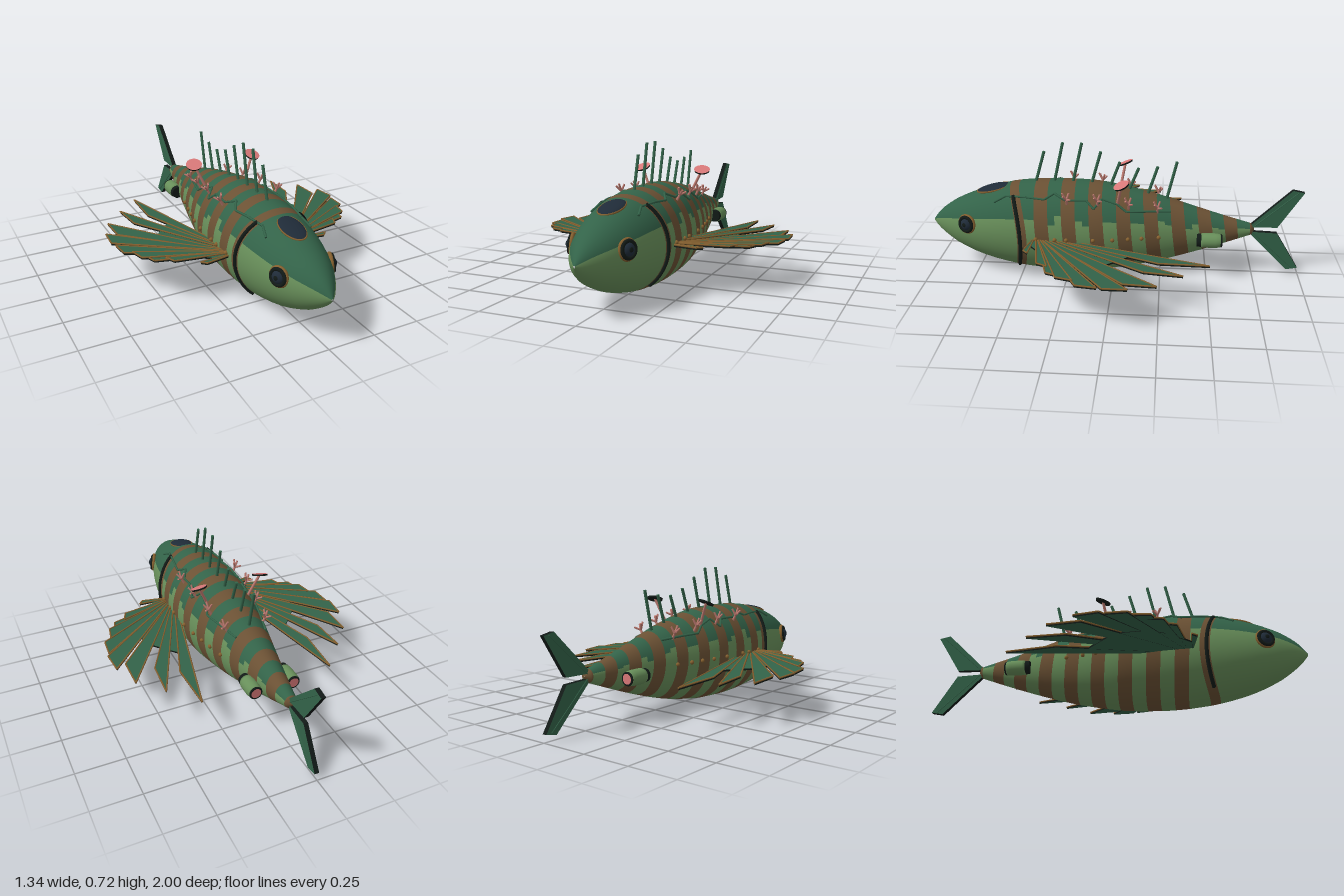
import * as THREE from 'three';

const mat = (name, color, side = THREE.FrontSide) =>
  Object.assign(new THREE.MeshStandardMaterial({ color, side }), { name });
const M = {
  dark: mat('dark green', 0x336349), light: mat('light green', 0x688f5a), brown: mat('stripe brown', 0x6b5134),
  black: mat('near black', 0x121a17), navy: mat('glass navy', 0x1f2b38), pink: mat('coral pink', 0xd87878),
  stalk: mat('stalk pink', 0xbd7a70), rim: mat('rim bronze', 0x85602f),
};
const V = (x, y, z) => new THREE.Vector3(x, y, z);

// Hull profile: z, half width, top, bottom
const PROFILE = [
  [1, 0.004, 0.265, 0.255], [0.97, 0.035, 0.305, 0.218], [0.925, 0.07, 0.345, 0.18], [0.85, 0.115, 0.392, 0.13],
  [0.7, 0.168, 0.452, 0.066], [0.5, 0.202, 0.498, 0.02], [0.3, 0.212, 0.51, 0.003], [0.1, 0.205, 0.505, 0.008],
  [0, 0.192, 0.49, 0.018], [-0.2, 0.15, 0.447, 0.055], [-0.4, 0.105, 0.387, 0.112], [-0.6, 0.06, 0.327, 0.18],
  [-0.735, 0.031, 0.29, 0.23], [-0.75, 0.001, 0.261, 0.259],
];

// Smooth interpolation of the profile at any z
function section(z) {
  const P = PROFILE, n = P.length;
  let i = 0;
  while (i < n - 2 && z < P[i + 1][0]) i++;
  const a = P[i], b = P[i + 1], d = b[0] - a[0];
  const t = THREE.MathUtils.clamp((z - a[0]) / d, 0, 1);
  const slope = (k, c) => {
    if (k >= n - 2) return (P[k][c] - P[k - 1][c]) / (P[k][0] - P[k - 1][0]);
    const p = P[Math.max(k - 1, 0)], q = P[k + 1];
    return (q[c] - p[c]) / (q[0] - p[0]);
  };
  const [w, top, bot] = [1, 2, 3].map((c) => {
    if (i >= n - 3) return a[c] + (b[c] - a[c]) * t;
    const t2 = t * t, t3 = t2 * t;
    return (2 * t3 - 3 * t2 + 1) * a[c] + (t3 - 2 * t2 + t) * d * slope(i, c)
      + (3 * t2 - 2 * t3) * b[c] + (t3 - t2) * d * slope(i + 1, c);
  });
  return { w, cy: (top + bot) / 2, h: (top - bot) / 2 };
}

// Point on the hull; bowed rings arc back at the gills and lean back along the body
function hullPoint(z, a, bow = 0, lift = 0) {
  const clamp01 = (v) => THREE.MathUtils.clamp(v, 0, 1);
  const arc = 0.05 * Math.cos(a) ** 2 + 0.01 * (1 - Math.sin(a)), lean = 0.02 * (1 - Math.sin(a));
  const fade = bow * clamp01((1 - z) / 0.45) * clamp01((z + 0.735) / 0.25);
  const zz = z - fade * THREE.MathUtils.lerp(arc, lean, clamp01((0.51 - z) / 0.08));
  const s = section(zz);
  return V((s.w + lift) * Math.cos(a), s.cy + (s.h + lift) * Math.sin(a), zz);
}

function add(parent, name, geo, material, pos) {
  const m = new THREE.Mesh(geo, material);
  m.name = name;
  if (pos) m.position.copy(pos);
  parent.add(m);
  return m;
}
function stick(parent, name, a, b, r0, r1, material, sides = 6) {
  const d = b.clone().sub(a);
  const m = add(parent, name, new THREE.CylinderGeometry(r1, r0, d.length(), sides), material, a.clone().lerp(b, 0.5));
  m.quaternion.setFromUnitVectors(V(0, 1, 0), d.normalize());
  return m;
}
function plate(points, depth) {
  const shape = new THREE.Shape(points.map((p) => new THREE.Vector2(p[0], p[1])));
  return new THREE.ExtrudeGeometry(shape, { depth, bevelEnabled: false });
}

function hull() {
  const zs = [1, 0.985, 0.965, 0.94, 0.91, 0.87, 0.83, 0.78, 0.73, 0.67, 0.61, 0.56, 0.535, 0.51];
  for (let k = 0; k < 9; k++) for (const o of [0.036, 0, -0.036, -0.072]) {
    const z = 0.385 - 0.143 * k + o;
    if (z > -0.73) zs.push(z);
  }
  zs.push(-0.735, -0.75);
  const N = 60, pos = [], lists = [[], [], []];
  for (const z of zs) for (let j = 0; j < N; j++) pos.push(...hullPoint(z, (j / N) * Math.PI * 2, 1).toArray());
  for (let i = 0; i < zs.length - 1; i++) {
    const z = (zs[i] + zs[i + 1]) / 2, f = (0.385 - z) / 0.143;
    const striped = (z < 0.56 && z > 0.51) || (z < 0.421 && Math.abs(f - Math.round(f)) < 0.252);
    const jag = z > 0.56 ? 0 : [0, 6, 0, -6, 0][(i * 3) % 5];
    for (let j = 0; j < N; j++) {
      const upper = Math.sin(((j + 0.5) / N) * Math.PI * 2) > Math.sin(THREE.MathUtils.degToRad(25 + jag));
      const k = (j + 1) % N, a = i * N + j, b = a + N, c = (i + 1) * N + k, d = i * N + k;
      lists[striped ? 2 : upper ? 0 : 1].push(a, b, c, a, c, d);
    }
  }
  const g = new THREE.BufferGeometry();
  g.setAttribute('position', new THREE.Float32BufferAttribute(pos, 3));
  g.setIndex(lists.flat());
  let start = 0;
  lists.forEach((l, m) => { g.addGroup(start, l.length, m); start += l.length; });
  g.computeVertexNormals();
  return g;
}

// Fan fin: pointed overlapping blades with bronze edges over a membrane
function fin(s) {
  const g = new THREE.Group();
  g.name = s > 0 ? 'leftFin' : 'rightFin';
  g.position.y = 0.222;
  g.rotation.x = -0.042;
  const base = [0.15, 0.41];
  const tips = [[0.355, -0.5], [0.487, -0.365], [0.6, -0.24], [0.655, -0.105], [0.652, 0.04], [0.605, 0.16],
    [0.565, 0.225], [0.485, 0.3], [0.355, 0.42]];
  const at = (ang, r) => [base[0] + r * Math.sin(ang), base[1] - r * Math.cos(ang)];
  const flat = (pts, depth, name, y) => {
    const m = add(g, name, plate(pts.map(([x, z]) => [s * x, -z]), depth), [M.dark, M.black]);
    m.rotation.x = -Math.PI / 2;
    m.position.y = y;
  };
  const web = [base];
  tips.forEach(([x, z], i) => {
    const dx = x - base[0], dz = base[1] - z, r = Math.hypot(dx, dz), ang = Math.atan2(dx, dz);
    const y = (i % 2) * 0.004, w = i < 2 ? 0.1 : 0.14;
    const cut = i < 3 ? 0.74 + 0.05 * i : 0.9;
    const A = at(ang, r), B = at(ang + w, r * cut), C = at(ang + w * 0.4, 0.02);
    flat([C, A, B, at(ang + w, 0.05)], 0.012, 'finBlade', y);
    const edge = (p, q) =>
      stick(g, 'finEdge', V(s * p[0], y + 0.011, p[1]), V(s * q[0], y + 0.011, q[1]), 0.0045, 0.0045, M.rim, 5);
    edge(base, A);
    edge(base, B);
    edge(A, B);
    web.push(at(ang, r * 0.6));
  });
  flat(web, 0.009, 'finMembrane', 0.001);
  return g;
}

function sideParts(s) {
  const g = new THREE.Group();
  g.name = s > 0 ? 'leftFittings' : 'rightFittings';
  const on = (z, deg, bow, lift) => {
    const p = hullPoint(z, THREE.MathUtils.degToRad(deg), bow, lift);
    p.x *= s;
    return p;
  };
  const onY = (z, y, lift) => {
    const c = section(z);
    return on(z, THREE.MathUtils.radToDeg(Math.asin(THREE.MathUtils.clamp((y - c.cy) / c.h, -1, 1))), 0, lift);
  };

  // Gill band
  const gill = new THREE.CatmullRomCurve3(Array.from({ length: 17 }, (_, i) => on(0.545, 57 - i * 7, 1, 0.003)));
  add(g, 'gillBand', new THREE.TubeGeometry(gill, 48, 0.01, 6), M.black);

  // Eye
  const eye = new THREE.Group();
  eye.name = 'eye';
  eye.position.copy(onY(0.78, 0.3, 0));
  eye.quaternion.setFromUnitVectors(V(0, 0, 1), V(s, 0.12, 0.42).normalize());
  add(eye, 'eyeRim', new THREE.TorusGeometry(0.044, 0.01, 8, 32), M.rim);
  add(eye, 'eyeRing', new THREE.TorusGeometry(0.038, 0.01, 8, 32), M.black, V(0, 0, 0.008));
  add(eye, 'eyeLens', new THREE.SphereGeometry(0.035, 24, 12), M.navy).scale.z = 0.8;
  add(eye, 'pupil', new THREE.SphereGeometry(0.012, 16, 8), M.black, V(0, 0, 0.025)).scale.z = 0.4;
  g.add(eye);

  // Angular conduit along the shoulder
  const run = [[0.63, 0.42], [0.57, 0.45], [0.46, 0.455], [0.36, 0.45], [0.31, 0.475], [0.25, 0.45], [0.14, 0.45],
    [0.1, 0.415], [0.06, 0.455], [-0.02, 0.43], [-0.07, 0.395], [-0.18, 0.39], [-0.3, 0.38]];
  const bends = run.map(([z, y]) => onY(z, y, 0.004));
  bends.slice(1).forEach((p, i) => stick(g, 'conduit', bends[i], p, 0.006, 0.006, M.dark));

  // Branching coral stalks
  for (const z of [0.24, 0.08, -0.08, -0.23]) {
    const p = on(z, 45, 0, -0.005), q = p.clone().add(V(s * 0.016, 0.03, 0));
    stick(g, 'coralStem', p, q, 0.007, 0.006, M.stalk);
    for (const [x, y, dz] of [[0.022, 0.028, 0.016], [-0.012, 0.036, -0.012], [0.026, 0.014, -0.022], [0.004, 0.04, 0.02]])
      stick(g, 'coralBranch', q, q.clone().add(V(s * x, y, dz)), 0.006, 0.005, M.stalk);
  }

  // Dish on a stem, tipped forward and outward
  const top = V(s * 0.173, 0.556, -0.045);
  stick(g, 'dishStem', on(-0.02, 50, 0, -0.01), top, 0.008, 0.007, M.stalk, 8);
  add(g, 'dish', new THREE.CylinderGeometry(0.042, 0.04, 0.009, 24), [M.black, M.pink, M.black], top)
    .rotation.set(0.4, 0, -s * 0.15);

  // Rivets
  for (const z of [0.4, 0.3, 0.24, 0.1, 0, -0.08, -0.15, -0.24])
    add(g, 'rivet', new THREE.SphereGeometry(0.011, 10, 8), M.rim, onY(z, 0.258, 0.002));

  // Engine pod
  const pod = new THREE.Group();
  pod.name = 'enginePod';
  pod.position.set(s * 0.103, 0.232, -0.507);
  const lathe = [[0.02, -0.06], [0.03, -0.064], [0.036, -0.054], [0.039, -0.03], [0.039, 0.03], [0.035, 0.048], [0, 0.05]];
  add(pod, 'podShell', new THREE.LatheGeometry(lathe.map(([r, y]) => new THREE.Vector2(r, y)), 24), M.light)
    .rotation.x = Math.PI / 2;
  add(pod, 'podIntake', new THREE.CylinderGeometry(0.033, 0.036, 0.022, 24), M.black, V(0, 0, 0.055))
    .rotation.x = Math.PI / 2;
  add(pod, 'podRearRing', new THREE.TorusGeometry(0.029, 0.006, 8, 24), M.black, V(0, 0, -0.062));
  add(pod, 'podNozzle', new THREE.CylinderGeometry(0.026, 0.026, 0.008, 24), M.pink, V(0, 0, -0.063))
    .rotation.x = Math.PI / 2;
  add(pod, 'podStrut', new THREE.BoxGeometry(0.06, 0.02, 0.07), M.black, V(-s * 0.04, 0, 0.03));
  g.add(pod);
  return g;
}

export function createModel() {
  const root = new THREE.Group();
  root.name = 'fishSubmarine';
  add(root, 'hull', hull(), [M.dark, M.light, M.brown]);

  // Top window
  const win = new THREE.Group();
  win.name = 'topWindow';
  win.position.set(0, 0.457, 0.655);
  win.rotation.x = 0.23;
  add(win, 'windowGlass', new THREE.SphereGeometry(1, 32, 16), M.navy).scale.set(0.058, 0.016, 0.094);
  const frame = add(win, 'windowFrame', new THREE.TorusGeometry(1, 0.05, 6, 40), M.rim);
  frame.rotation.x = Math.PI / 2;
  frame.scale.set(0.058, 0.093, 0.1);
  root.add(win);

  // Dorsal spines
  const tops = [0.67, 0.72, 0.72, 0.675, 0.62, 0.59, 0.6, 0.63];
  tops.forEach((y, i) => {
    const z = 0.375 - 0.1 * i, c = section(z + 0.05);
    stick(root, 'dorsalSpine', V(0, c.cy + c.h - 0.01, z + 0.05), V(0, y, z), 0.008, 0.008, M.dark, 8);
  });

  // Tail lobes
  const lobes = { upperTail: [[-0.715, 0.272], [-0.935, 0.49], [-0.995, 0.478], [-0.87, 0.276]],
    lowerTail: [[-0.715, 0.248], [-0.87, 0.242], [-0.995, 0.04], [-0.935, 0.028]] };
  for (const [name, pts] of Object.entries(lobes)) {
    const m = add(root, name, plate(pts.map(([z, y]) => [-z, y]), 0.024), [M.dark, M.black]);
    m.rotation.y = Math.PI / 2;
    m.position.x = -0.012;
    // Raised rays
    const tip = pts.reduce((a, p) => (p[0] < a[0] ? p : a));
    for (const x of [-0.012, 0.012])
      stick(root, 'tailRay', V(x, pts[0][1], -0.74), V(x, tip[1], tip[0] + 0.03), 0.003, 0.003, M.dark, 5);
  }

  for (const s of [1, -1]) root.add(sideParts(s), fin(s));
  return root;
}
